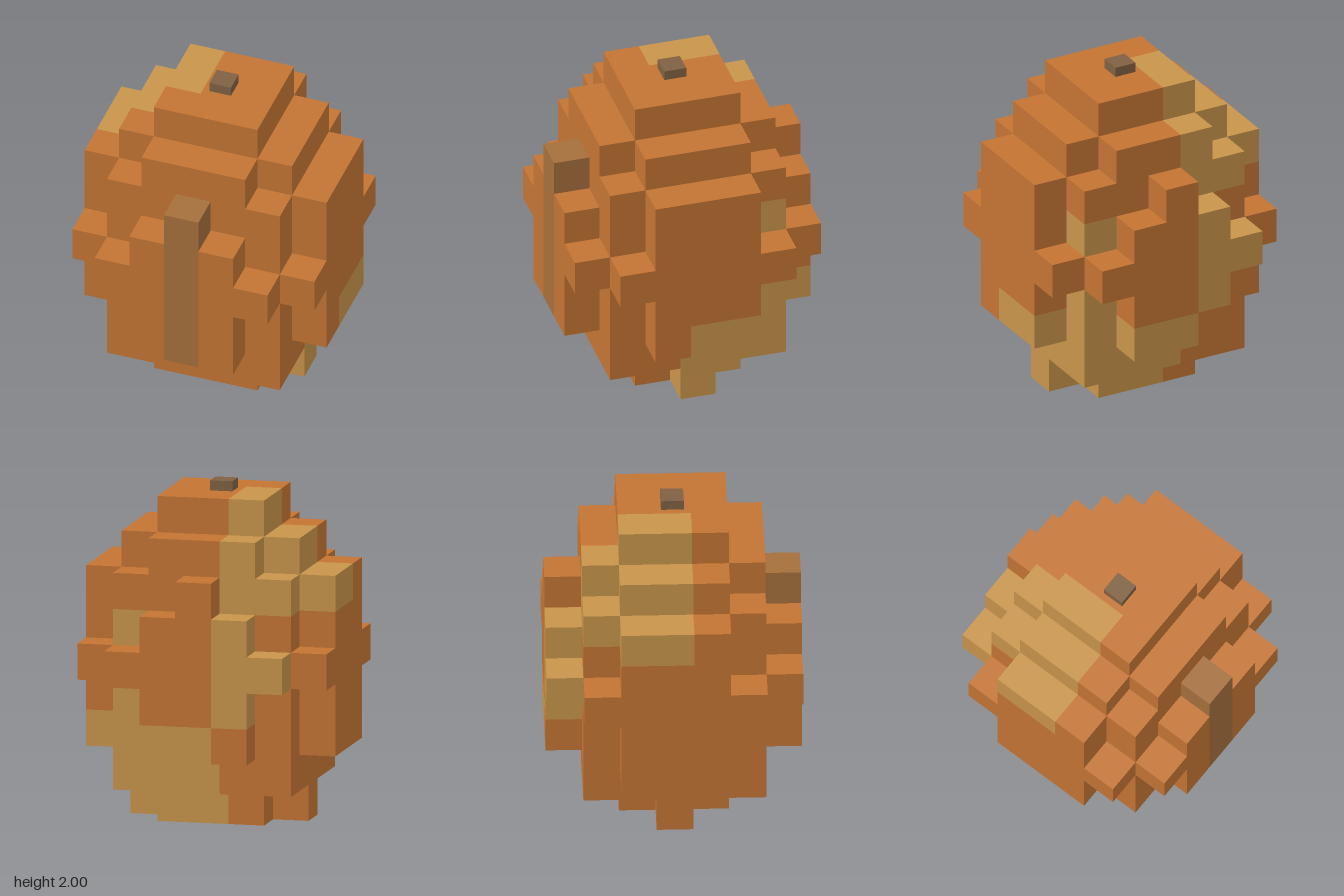
import * as THREE from 'three';
import { mergeGeometries } from 'three/addons/utils/BufferGeometryUtils.js';

const STEM_H = 0.06;
const S = (2 - STEM_H) / 9; // block size

const mat = (name, color) => {
  const m = new THREE.MeshStandardMaterial({ color });
  m.name = name;
  return m;
};

// Each layer, bottom to top: half width in x for rows |z| = 0, 1, 2, 3
const LAYERS = [
  [2, 1],
  [2, 2, 2],
  [3, 3, 2, 1],
  [3, 3, 2, 1],
  [3, 3, 3, 2],
  [3, 3, 2, 1],
  [3, 3, 2, 0],
  [2, 2, 1],
  [1, 1],
];
const filled = (x, y, z) => Math.abs(x) <= (LAYERS[y]?.[Math.abs(z)] ?? -1);

// Golden patches: cells of 3 x 3 x 3 blocks, as x, y, z cell numbers
const GOLD_CELLS = new Set(['0,2,1', '0,1,0', '1,0,0', '1,0,1', '2,0,1', '1,1,1']);
const cell = (x, y, z) =>
  [Math.floor((x + 3) / 3), Math.floor(y / 3), Math.floor((z + 5) / 3)].join(',');

function partOf(x, y, z) {
  if (z === 3 && x === 0) return 'frontStripe';
  return GOLD_CELLS.has(cell(x, y, z)) ? 'goldenPatches' : 'body';
}

// The six block sides: outward direction and the turn that faces a plane that way
const SIDES = [
  [[1, 0, 0], [0, Math.PI / 2, 0]],
  [[-1, 0, 0], [0, -Math.PI / 2, 0]],
  [[0, 1, 0], [-Math.PI / 2, 0, 0]],
  [[0, -1, 0], [Math.PI / 2, 0, 0]],
  [[0, 0, 1], [0, 0, 0]],
  [[0, 0, -1], [0, Math.PI, 0]],
].map(([dir, turn]) => {
  const plane = new THREE.PlaneGeometry(S, S).translate(0, 0, S / 2);
  plane.applyMatrix4(new THREE.Matrix4().makeRotationFromEuler(new THREE.Euler(...turn)));
  return { dir, plane };
});

export function createModel() {
  const group = new THREE.Group();
  group.name = 'blockEgg';

  const materials = {
    body: mat('orange', 0xc47433),
    goldenPatches: mat('gold', 0xc8944a),
    frontStripe: mat('brown', 0xa56f3c),
  };
  const faces = { body: [], goldenPatches: [], frontStripe: [] };

  // Stacked blocks: keep only the sides open to the air
  for (let y = 0; y < 9; y++)
    for (let x = -3; x <= 3; x++)
      for (let z = -3; z <= 3; z++) {
        if (!filled(x, y, z)) continue;
        for (const { dir: [dx, dy, dz], plane } of SIDES) {
          if (filled(x + dx, y + dy, z + dz)) continue;
          faces[partOf(x, y, z)].push(plane.clone().translate(x * S, (y + 0.5) * S, z * S));
        }
      }
  for (const [name, list] of Object.entries(faces)) {
    const mesh = new THREE.Mesh(mergeGeometries(list), materials[name]);
    mesh.name = name;
    group.add(mesh);
  }

  // Small stem on top
  const stem = new THREE.Mesh(
    new THREE.BoxGeometry(0.135, STEM_H, 0.135),
    mat('dark brown', 0x806142),
  );
  stem.name = 'stem';
  stem.position.y = 2 - STEM_H / 2;
  group.add(stem);

  return group;
}
